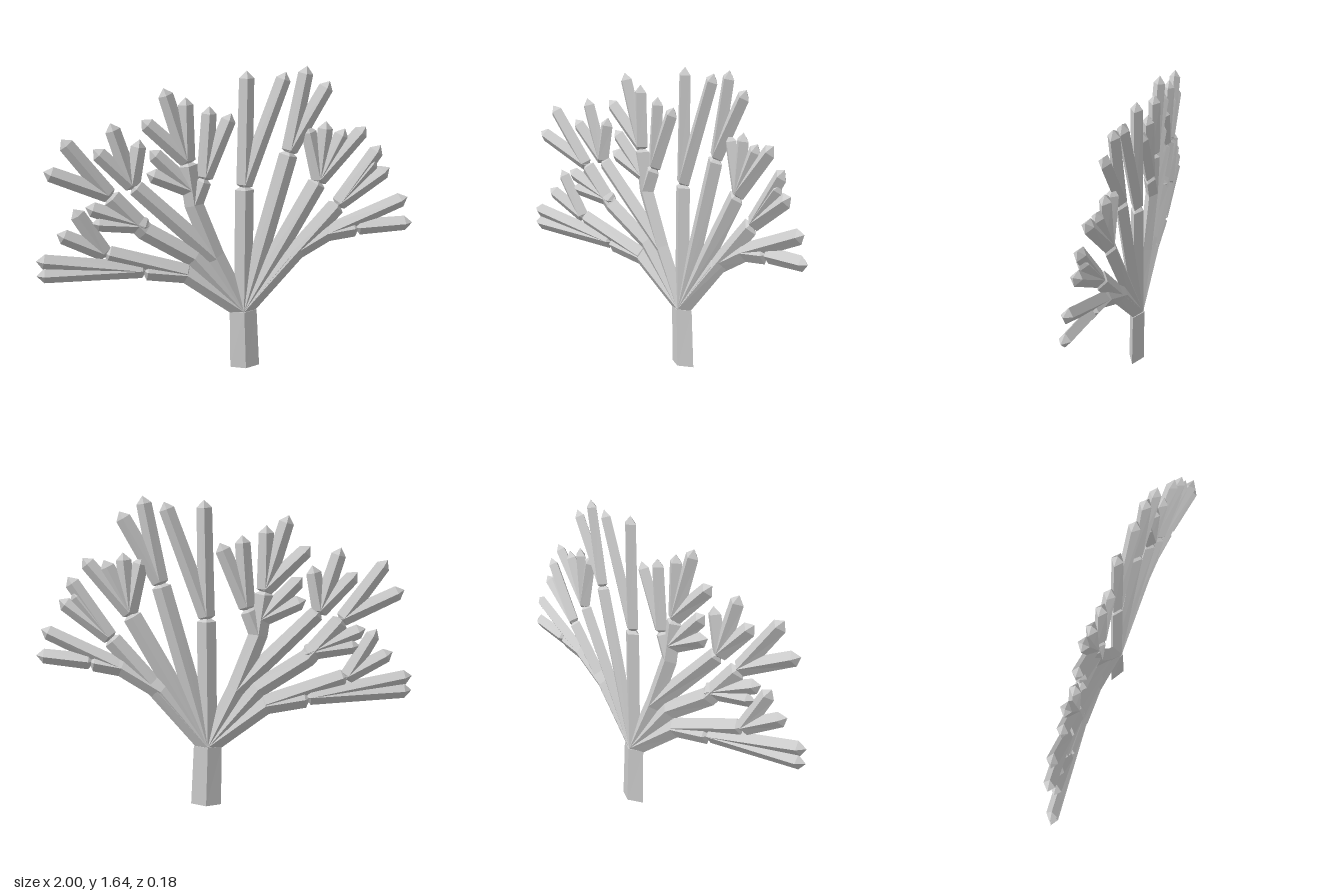
import * as THREE from 'three';

// The fan is a sheet bent gently forward at both sides.
const sheetZ = x => -0.045 + 0.095 * (x - 0.1) ** 2;

// Four-sided branch along [x, y] points, radius r0 to r1, pointed at the tip.
function branchGeometry(points, r0, r1, tip, base) {
  const p = points.map(([x, y]) => new THREE.Vector2(x, y));
  const n = p.length - 1;
  const dirs = p.slice(1).map((q, i) => q.clone().sub(p[i]).normalize());
  if (tip) p[n].addScaledVector(dirs[n - 1], -tip);
  const pos = [], index = [];
  const add = (x, y, dz = 0) => pos.push(x, y, sheetZ(x) + dz);
  p.forEach((c, i) => {
    const a = dirs[Math.max(i - 1, 0)], b = dirs[Math.min(i, n - 1)];
    const t = a.clone().add(b).normalize();
    const r = r0 + (r1 - r0) * i / n;
    const w = r / Math.max(t.dot(a), 0.7);   // mitred width at a bend
    const depth = 0.02 + 0.28 * r;
    add(c.x - t.y * w, c.y + t.x * w);
    add(c.x, c.y, depth);
    add(c.x + t.y * w, c.y - t.x * w);
    add(c.x, c.y, -depth);
  });
  for (let i = 0; i < n; i++) for (let k = 0; k < 4; k++) {
    const a = i * 4 + k, b = i * 4 + (k + 1) % 4;
    index.push(a, b, b + 4, a, b + 4, a + 4);
  }
  const e = n * 4, m = (n + 1) * 4;
  add(p[n].x + dirs[n - 1].x * tip, p[n].y + dirs[n - 1].y * tip);
  add(p[0].x - dirs[0].x * base, p[0].y - dirs[0].y * base);
  for (let k = 0; k < 4; k++) {
    const j = (k + 1) % 4;
    index.push(e + k, e + j, m, j, k, m + 1);
  }
  const g = new THREE.BufferGeometry();
  g.setAttribute('position', new THREE.Float32BufferAttribute(pos, 3));
  g.setIndex(index);
  const flat = g.toNonIndexed();
  flat.computeVertexNormals();
  return flat;
}

export function createModel() {
  const model = new THREE.Group();
  model.name = 'fanCoral';
  const coral = new THREE.MeshStandardMaterial({ color: 0xcccccc, flatShading: true });
  coral.name = 'pale grey';

  const add = (name, points, r0, r1, tip, base) => {
    const mesh = new THREE.Mesh(branchGeometry(points, r0, r1, tip, base), coral);
    mesh.name = name;
    model.add(mesh);
  };

  // Trunk
  const hub = [0.095, 0.32];
  add('trunk', [[0.105, 0], hub], 0.08, 0.074, 0, 0);

  // Main limbs, all rising from the top of the trunk
  const limbs = {
    lowRightLimb: [[-0.21, 0.54], [-0.45, 0.575]],
    rightLimb: [[-0.17, 0.63], [-0.43, 0.79], [-0.62, 1.0]],
    innerRightLimb: [[-0.056, 0.63], [-0.17, 0.92], [-0.205, 1.16]],
    centreLimb: [[0.1, 1.02]],
    innerLeftLimb: [[0.34, 1.2]],
    leftLimb: [[0.5, 1.04]],
    outerLeftLimb: [[0.61, 0.91]],
    lowLeftLimb: [[0.34, 0.62], [0.545, 0.745], [0.72, 0.775]],
  };
  for (const [name, pts] of Object.entries(limbs)) add(name, [hub, ...pts], 0.05, 0.05, 0.03, 0.02);

  // Side branches that carry their own clusters of twigs
  const sides = [
    [[-0.21, 0.55], [-0.65, 0.69]],
    [[-0.05, 0.62], [-0.495, 1.045]],
    [[-0.17, 0.92], [-0.11, 1.07]],
  ];
  for (const pts of sides) add('sideBranch', pts, 0.048, 0.045, 0.03, 0.03);

  // Twigs: each joint with the tips that spring from it
  const clusters = [
    [[-0.45, 0.58], [[-1, 0.595], [-1, 0.675]]],
    [[-0.65, 0.69], [[-0.89, 0.81], [-0.8, 0.935]]],
    [[-0.62, 1.0], [[-0.945, 1.14], [-0.85, 1.3]]],
    [[-0.43, 0.82], [[-0.74, 0.94], [-0.71, 0.85]]],
    [[-0.495, 1.045], [[-0.69, 1.24], [-0.6, 1.37], [-0.45, 1.28]]],
    [[-0.205, 1.16], [[-0.325, 1.54], [-0.21, 1.49], [-0.44, 1.38]]],
    [[-0.18, 1.0], [[-0.42, 1.1], [-0.4, 1.22]]],
    [[-0.11, 1.07], [[-0.085, 1.44], [0.03, 1.4]]],
    [[0.1, 1.02], [[0.11, 1.62], [0.315, 1.61]]],
    [[0.34, 1.2], [[0.425, 1.64], [0.545, 1.56]]],
    [[0.5, 1.04], [[0.43, 1.33], [0.53, 1.35], [0.63, 1.31], [0.74, 1.32]]],
    [[0.61, 0.91], [[0.82, 1.22], [0.87, 1.1], [0.8, 1.15]]],
    [[0.72, 0.775], [[1, 0.8]]],
    [[0.545, 0.745], [[0.97, 0.94]]],
  ];
  for (const [joint, tips] of clusters)
    for (const end of tips) add('twig', [joint, end], 0.044, 0.04, 0.04, 0.03);

  return model;
}
